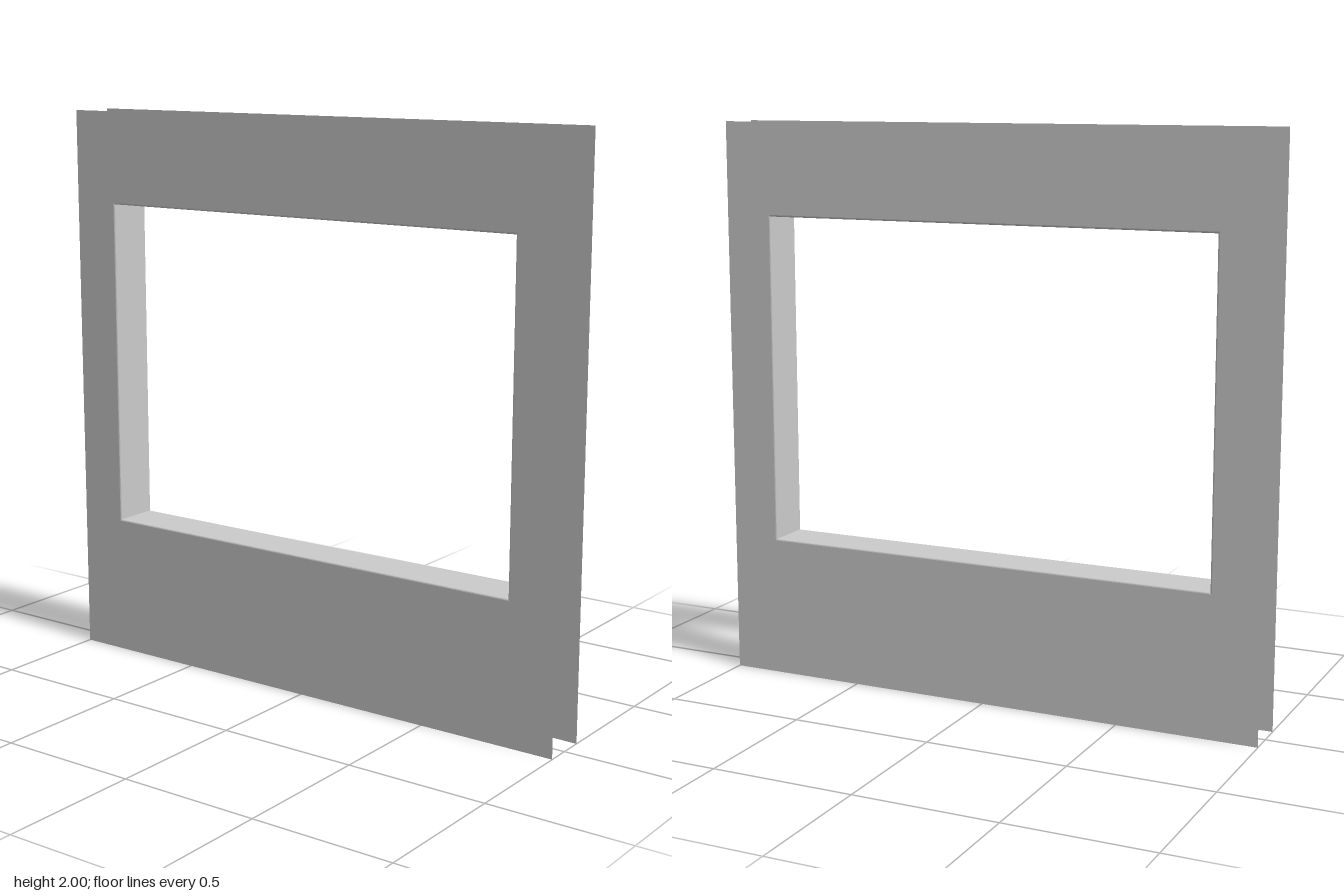
import * as THREE from 'three';

const material = new THREE.MeshStandardMaterial({ color: 0xcccccc, side: THREE.DoubleSide });
const DEPTH = 0.082; // half distance between the two sheets
const LIP = 0.006; // rounded edge where the lining meets a sheet
const OPEN = { x: 0.825, bottom: 0.503, top: 1.67 };

// Corners of the opening, counter-clockwise from the front, grown by an offset
const corners = (grow) => [
  [-OPEN.x - grow, OPEN.bottom - grow],
  [OPEN.x + grow, OPEN.bottom - grow],
  [OPEN.x + grow, OPEN.top + grow],
  [-OPEN.x - grow, OPEN.top + grow],
].map(([x, y]) => new THREE.Vector2(x, y));

// Thin wall sheet with the window opening cut out
function makeSheet(name, z, turn) {
  const shape = new THREE.Shape([[-1, 0], [1, 0], [1, 2], [-1, 2]].map((p) => new THREE.Vector2(...p)));
  shape.holes.push(new THREE.Path(corners(LIP).reverse()));
  const sheet = new THREE.Mesh(new THREE.ShapeGeometry(shape), material);
  sheet.name = name;
  sheet.position.z = z;
  sheet.rotation.y = turn;
  return sheet;
}

// Lining of the opening: a mitred ring swept from back to front with rounded lips
function makeLining() {
  const front = [0, 1, 2, 3].map((i) => {
    const a = (i / 3) * Math.PI / 2;
    return [LIP * (1 - Math.cos(a)), DEPTH - LIP * (1 - Math.sin(a))];
  });
  const profile = [...front.map(([g, z]) => [g, -z]).reverse(), ...front];
  const positions = [];
  for (let j = 0; j < profile.length - 1; j++) {
    const [g0, z0] = profile[j];
    const [g1, z1] = profile[j + 1];
    const back = corners(g0), fore = corners(g1);
    for (let i = 0; i < 4; i++) {
      const k = (i + 1) % 4;
      const a = [back[i].x, back[i].y, z0], b = [back[k].x, back[k].y, z0];
      const c = [fore[k].x, fore[k].y, z1], d = [fore[i].x, fore[i].y, z1];
      positions.push(...a, ...c, ...b, ...a, ...d, ...c);
    }
  }
  const geometry = new THREE.BufferGeometry();
  geometry.setAttribute('position', new THREE.Float32BufferAttribute(positions, 3));
  geometry.computeVertexNormals();
  const lining = new THREE.Mesh(geometry, material);
  lining.name = 'openingLining';
  return lining;
}

export function createModel() {
  const group = new THREE.Group();
  group.name = 'windowWall';
  group.add(
    makeSheet('frontSheet', DEPTH, 0),
    makeSheet('backSheet', -DEPTH, Math.PI),
    makeLining(),
  );
  return group;
}
